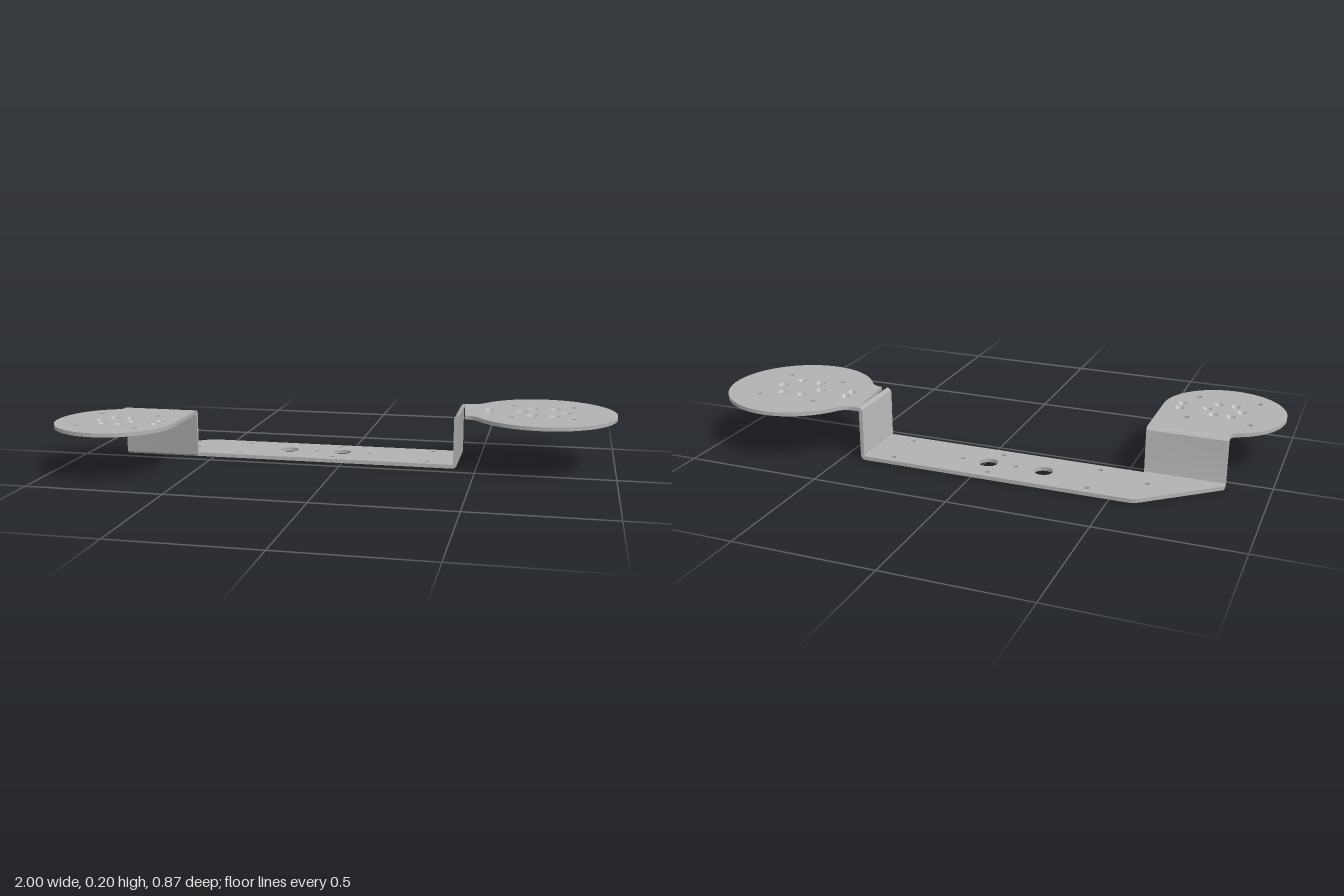
import * as THREE from 'three';
import { toCreasedNormals } from 'three/addons/utils/BufferGeometryUtils.js';

const T = 0.014;          // sheet thickness
const RO = 0.017;         // outer bend radius
const RI = RO - T;        // inner bend radius
const PI = Math.PI;

export function createModel() {
  const steel = new THREE.MeshStandardMaterial({ color: 0xb2b2b2 });
  steel.name = 'sheetSteel';
  const model = new THREE.Group();
  model.name = 'bracket';

  const add = (name, geometry, parent = model) => {
    const mesh = new THREE.Mesh(toCreasedNormals(geometry, 0.5), steel);
    mesh.name = name;
    parent.add(mesh);
    return mesh;
  };

  // Flat plate from an outline drawn in (x, -z); holes are [x, z, radius]
  const plate = (name, shape, holes, y) => {
    for (const [x, z, r] of holes) {
      shape.holes.push(new THREE.Path().absarc(x, -z, r, 0, 2 * PI, true));
    }
    const g = new THREE.ExtrudeGeometry(shape, { depth: T, bevelEnabled: false, curveSegments: 32 });
    g.rotateX(-PI / 2);
    add(name, g).position.y = y;
  };

  // Conical seat filling the lower part of a countersunk hole
  const countersink = ([x, z, r], y) => {
    const ri = r * 0.55;
    const pts = [[r, T], [ri, 0.004], [ri, 0], [r, 0]].map(p => new THREE.Vector2(...p));
    add('countersink', new THREE.LatheGeometry(pts, 32)).position.set(x, y, z);
  };

  // Z-shaped upright: bends up from the base at u0 and away again at height h
  const upright = (u0, h, width) => {
    const u1 = u0 + T;
    const s = new THREE.Shape();
    s.moveTo(u1 - RO, 0);
    s.absarc(u1 - RO, RO, RO, -PI / 2, 0, false);
    s.absarc(u0 + RO, h - RO, RI, PI, PI / 2, true);
    s.lineTo(u0 + RO, h);
    s.absarc(u0 + RO, h - RO, RO, PI / 2, PI, false);
    s.absarc(u1 - RO, RO, RI, 0, -PI / 2, true);
    s.closePath();
    return new THREE.ExtrudeGeometry(s, { depth: width, bevelEnabled: false, curveSegments: 8 });
  };

  // Six holes in a ring
  const ring = (x, z, radius, r) => Array.from({ length: 6 }, (_, i) =>
    [x + radius * Math.cos(i * PI / 3), z + radius * Math.sin(i * PI / 3), r]);
  // Four holes in a square
  const square = (x, z, d, r) => [[-d, -d], [d, -d], [-d, d], [d, d]].map(([a, b]) => [x + a, z + b, r]);

  const back = -0.285, front = -0.055, edge = -0.845, inner = -0.56;
  const wallX = 0.417, wallZ = -0.049;
  const leftH = 0.2, rightH = 0.182;

  // Base strip with a slanted end
  const baseFront = -(wallZ + T - RO), baseEnd = wallX + T - RO;
  const base = new THREE.Shape();
  base.moveTo(edge, baseFront);
  base.lineTo(baseEnd, baseFront);
  base.lineTo(baseEnd, -back);
  base.lineTo(-0.56, -back);
  base.quadraticCurveTo(-0.585, -back, -0.605, 0.268);
  base.lineTo(edge, 0.07);
  base.closePath();
  const baseHoles = [[-0.23, -0.172, 0.034], [-0.022, -0.172, 0.034],
    [-0.123, -0.171, 0.01], [0.08, -0.171, 0.01], [-0.594, -0.144, 0.01]];
  for (const x of [-0.412, -0.048, 0.316]) {
    for (const z of [-0.251, -0.091]) baseHoles.push([x, z, 0.01]);
  }
  plate('baseStrip', base, baseHoles, 0);

  // Uprights
  add('leftUpright', upright(wallX, leftH, front - back)).position.z = back;
  const side = upright(wallZ, rightH, inner - edge);
  side.rotateY(-PI / 2);
  add('rightUpright', side).position.x = inner;

  // Left disc, blended into its neck by two fillets
  {
    const cx = 0.733, cy = 0.171, r = 0.267, f = 0.06;
    const half = (front - back) / 2, mid = -(front + back) / 2;
    const dy = half + f, dx = Math.sqrt((r + f) ** 2 - dy * dy);
    const a = Math.atan2(dy, dx);
    const s = new THREE.Shape();
    s.moveTo(wallX + RO, mid - half);
    s.absarc(cx - dx, mid - dy, f, PI / 2, a, true);
    s.absarc(cx, cy, r, -PI + a, PI - a, false);
    s.absarc(cx - dx, mid + dy, f, -a, -PI / 2, true);
    s.lineTo(wallX + RO, mid + half);
    s.closePath();
    const sunk = [...ring(cx, -0.173, 0.08, 0.022), [0.535, -0.198, 0.018], [0.535, -0.147, 0.018]];
    plate('leftDisc', s, [...sunk, ...square(0.731, -0.174, 0.111, 0.01)], leftH - T);
    sunk.forEach(h => countersink(h, leftH - T));
  }

  // Right disc, tangent to its neck on one side and filleted on the other
  {
    const cx = -0.78, cy = -0.21, r = 0.22, f = 0.025;
    const dx = cx - edge + f, dy = Math.sqrt((r + f) ** 2 - dx * dx);
    const s = new THREE.Shape();
    s.moveTo(inner, -(wallZ + RO));
    s.lineTo(edge, -(wallZ + RO));
    s.absarc(edge - f, cy + dy, f, 0, Math.atan2(-dy, dx), true);
    s.absarc(cx, cy, r, Math.atan2(dy, -dx), 2 * PI, false);
    s.closePath();
    const sunk = [...ring(cx, 0.21, 0.062, 0.018), [-0.623, 0.184, 0.018], [-0.623, 0.235, 0.018]];
    plate('rightDisc', s, [...sunk, ...square(-0.778, 0.209, 0.111, 0.01)], rightH - T);
    sunk.forEach(h => countersink(h, rightH - T));
  }

  return model;
}
